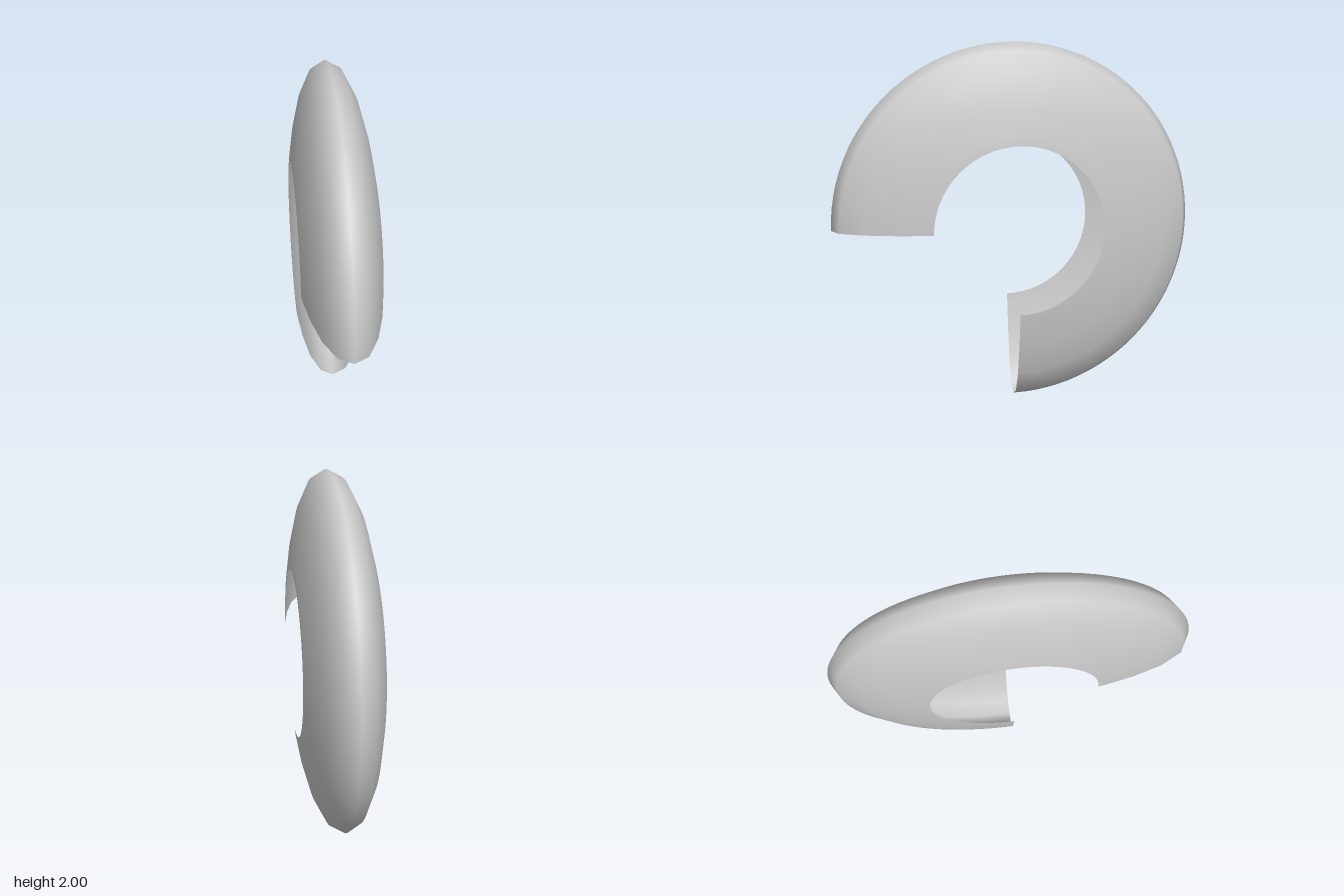
import * as THREE from 'three';

export function createModel() {
  const group = new THREE.Group();
  group.name = 'openRing';

  // Half of the rim's cross-section: [half width, radius], from inner edge to tip
  const half = [[0.214, 0.465], [0.209, 0.51], [0.182, 0.665], [0.138, 0.831], [0.075, 0.957]];
  const profile = [
    ...half.map(([w, r]) => new THREE.Vector2(r, -w)),
    new THREE.Vector2(1, 0),
    ...half.map(([w, r]) => new THREE.Vector2(r, w)).reverse(),
  ];

  // Three-quarter sweep about the x axis, leaving the lower front quarter open
  const geometry = new THREE.LatheGeometry(profile, 72, Math.PI / 2, Math.PI * 1.5);
  geometry.rotateZ(-Math.PI / 2);
  geometry.translate(0, 1, 0);

  const shell = new THREE.Mesh(
    geometry,
    new THREE.MeshStandardMaterial({ color: 0xcccccc, side: THREE.DoubleSide })
  );
  shell.name = 'ringShell';
  group.add(shell);
  return group;
}
